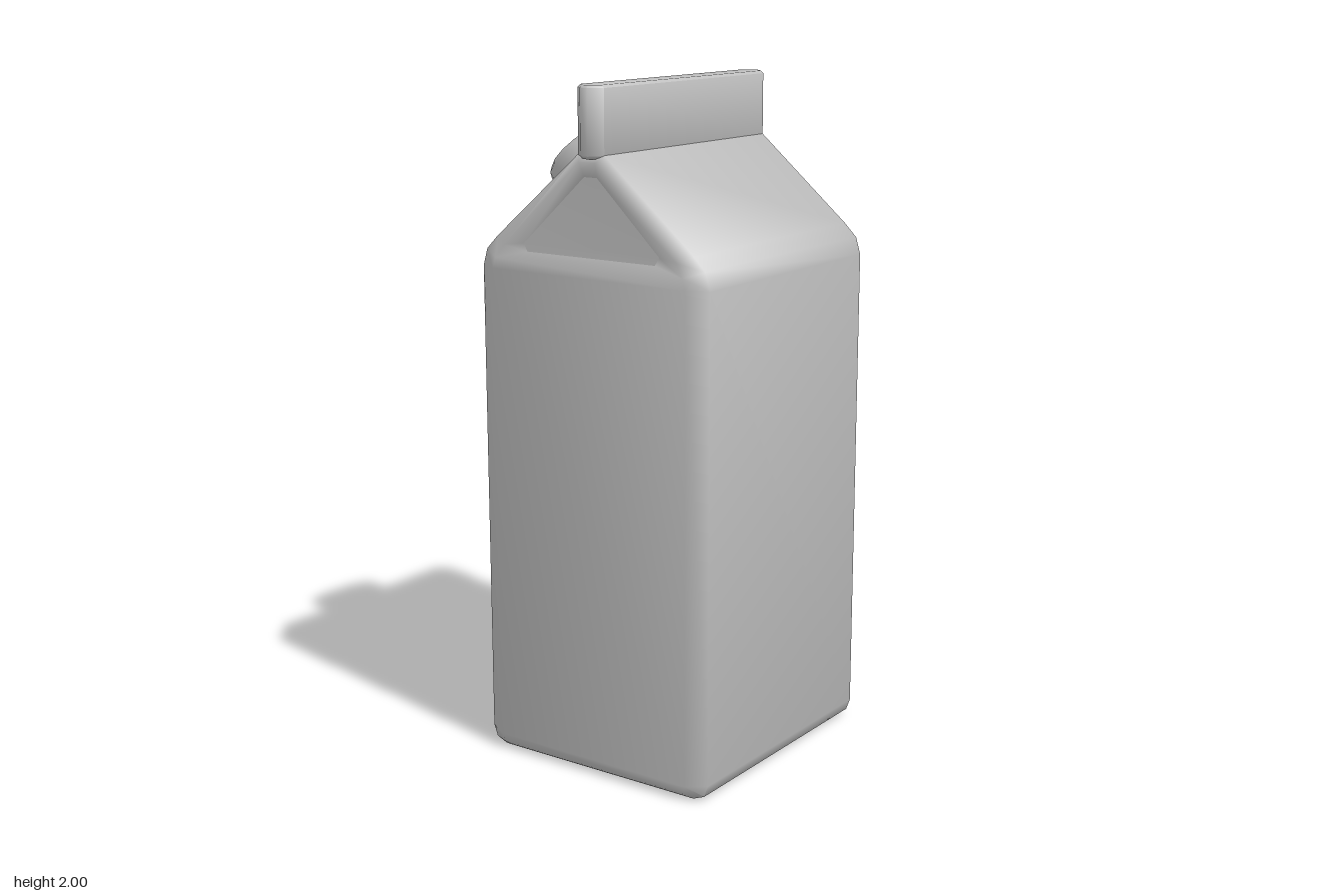
import * as THREE from 'three';
import { toCreasedNormals } from 'three/addons/utils/BufferGeometryUtils.js';

const CX = 0.015; // centre line of the carton

// right half [x, y, z], bottom to top, mirrored into a full counterclockwise loop
function loop(half) {
  const right = half.map(([x, y, z]) => [CX + x, y, z]);
  const left = half.map(([x, y, z]) => [CX - x, y, z]).reverse();
  return [...right, ...left];
}

function quad(out, a, b, c, d) {
  out.push(a, b, c, a, c, d);
}

// closed band between two loops of equal length
function band(out, a, b) {
  a.forEach((p, i) => {
    const j = (i + 1) % a.length;
    quad(out, p, a[j], b[j], b[i]);
  });
}

// fill a mirrored loop row by row
function fill(out, l, rows = l.length / 2 - 1) {
  const n = l.length - 1;
  for (let i = 0; i < rows; i++) quad(out, l[i], l[i + 1], l[n - i - 1], l[n - i]);
}

// add the triangles mirrored to the back
function withBack(tris) {
  const back = tris.map(([x, y, z]) => [x, y, -z]).reverse();
  return [...tris, ...back];
}

function geometry(tris, crease) {
  const g = new THREE.BufferGeometry();
  g.setAttribute('position', new THREE.Float32BufferAttribute(tris.flat(), 3));
  return toCreasedNormals(g, crease);
}

export function createModel() {
  const group = new THREE.Group();
  const grey = new THREE.MeshStandardMaterial({ color: 0xc0c0c0 });
  grey.name = 'plain grey';
  const add = (name, geo) => {
    const mesh = new THREE.Mesh(geo, grey);
    mesh.name = name;
    group.add(mesh);
    return mesh;
  };

  // carton outline, its chamfered end, and the sunken gable panel
  const outer = loop([
    [0.345, 0, 0.4], [0.382, 0.015, 0.4], [0.395, 0.05, 0.4], [0.395, 1.47, 0.4],
    [0.38, 1.52, 0.4], [0.34, 1.56, 0.4], [0.045, 1.81, 0.4],
  ]);
  const rim = loop([
    [0.31, 0.012, 0.42], [0.328, 0.02, 0.428], [0.335, 0.045, 0.432], [0.335, 1.47, 0.432],
    [0.325, 1.502, 0.43], [0.3, 1.54, 0.421], [0.028, 1.79, 0.42],
  ]);
  const panel = loop([[0.222, 1.525, 0.412], [0.235, 1.548, 0.41], [0.022, 1.748, 0.405]]);

  const end = [];
  band(end, outer, rim);
  fill(end, rim, 4);
  band(end, rim.slice(4, 10), panel);
  const body = withBack(end);
  band(body, outer.map(([x, y, z]) => [x, y, -z]), outer);
  // underside edge closing between the end chamfers
  add('cartonBody', geometry(body, 1.2));

  const floor = [];
  fill(floor, panel);
  add('gablePanels', geometry(withBack(floor), 0.5));

  // upright sealed fin along the ridge
  const b = 0.008;
  const plan = new THREE.Shape([
    [-0.045, -0.4], [-0.012, -0.433], [0.012, -0.433], [0.045, -0.4],
    [0.045, 0.4], [0.012, 0.433], [-0.012, 0.433], [-0.045, 0.4],
  ].map(([x, z]) => new THREE.Vector2(x, z)));
  const fin = new THREE.ExtrudeGeometry(plan, {
    depth: 0.2 - 2 * b, bevelEnabled: true, bevelSize: b, bevelOffset: -b,
    bevelThickness: b, bevelSegments: 1,
  });
  fin.rotateX(-Math.PI / 2);
  fin.translate(CX, 1.8 + b, 0);
  add('ridgeFin', toCreasedNormals(fin, 0.9));

  // screw cap standing square on the sloping roof
  const profile = [
    [0, -0.076], [0.14, -0.076], [0.155, -0.06], [0.155, 0.06], [0.14, 0.076], [0, 0.076],
  ].map(([r, y]) => new THREE.Vector2(r, y));
  const cap = add('screwCap', toCreasedNormals(new THREE.LatheGeometry(profile, 18), 0.85));
  cap.position.set(-0.25, 1.728, -0.012);
  cap.rotation.z = 0.7;

  return group;
}
